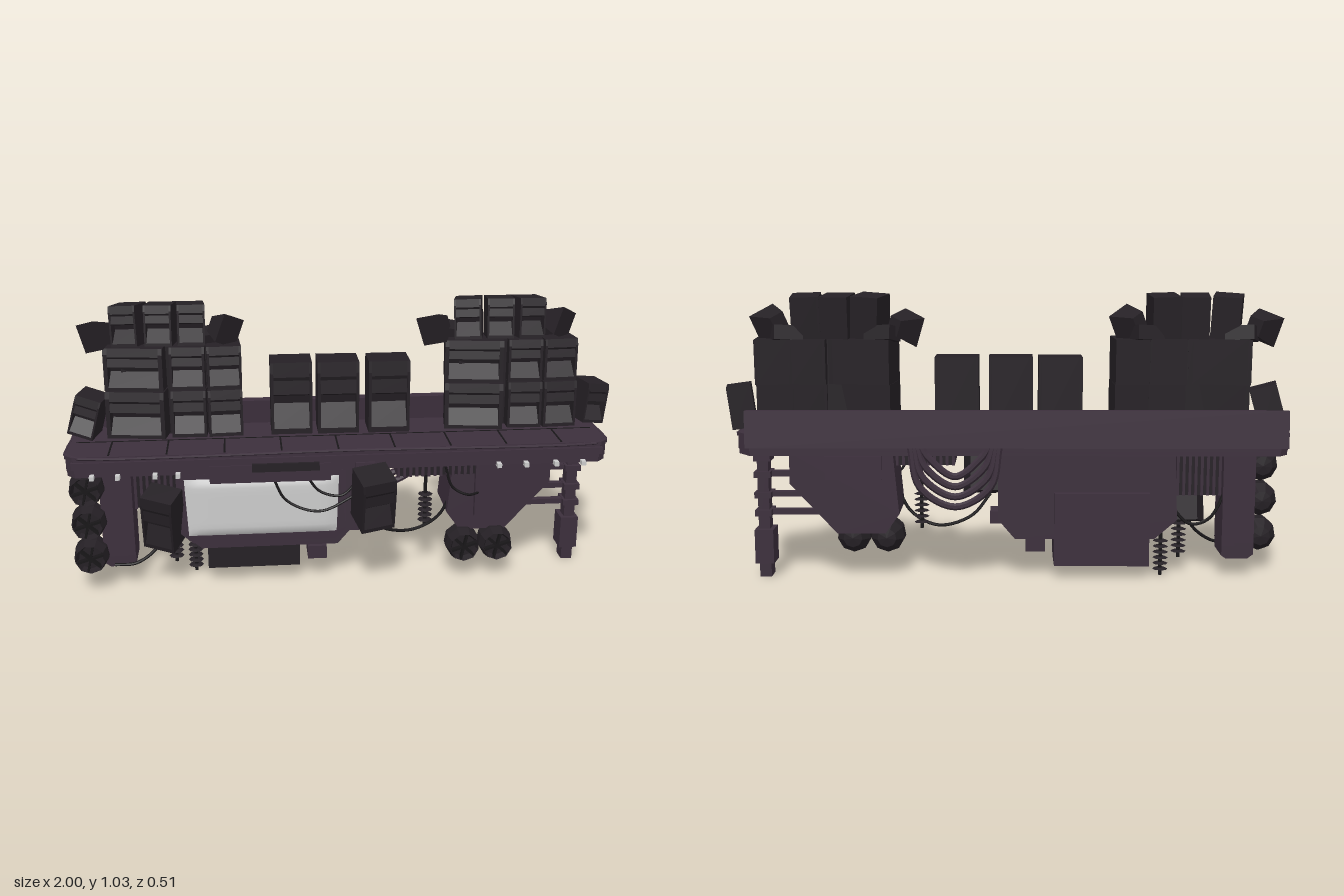
import * as THREE from 'three';

const mat = (color, extra = {}) => new THREE.MeshStandardMaterial({ color, flatShading: true, ...extra });

export function createModel() {
  const root = new THREE.Group();
  root.name = 'hangingStage';
  const purple = mat(0x3c2f3c), dark = mat(0x252025), black = mat(0x181618), grey = mat(0xcccccc);

  const add = (name, geo, m, x = 0, y = 0, z = 0, rx = 0, ry = 0, rz = 0, parent = root) => {
    const mesh = new THREE.Mesh(geo, m);
    mesh.name = name;
    mesh.position.set(x, y, z);
    mesh.rotation.set(rx, ry, rz);
    parent.add(mesh);
    return mesh;
  };
  // Box given by its limits
  const block = (name, m, x0, x1, y0, y1, z0, z1) =>
    add(name, new THREE.BoxGeometry(x1 - x0, y1 - y0, z1 - z0), m, (x0 + x1) / 2, (y0 + y1) / 2, (z0 + z1) / 2);
  const poly = (pts) => new THREE.Shape(pts.map(([a, b]) => new THREE.Vector2(a, b)));
  const extrude = (pts, depth) => new THREE.ExtrudeGeometry(poly(pts), { depth, bevelEnabled: false });
  // Front outline extruded from z0 to z1
  const prism = (name, m, pts, z0, z1) => add(name, extrude(pts, z1 - z0), m, 0, 0, z0);
  const cable = (name, pts, r, m = black) => add(name, new THREE.TubeGeometry(
    new THREE.CatmullRomCurve3(pts.map((p) => new THREE.Vector3(...p))), 28, r, 7), m);

  // Platform: plan outline with clipped corners, stacked in layers
  const layer = (name, y0, y1, inset) => {
    const l = -0.995 + inset, r = 0.955 - inset, f = 0.115 - inset, b = -0.19 + inset, c = 0.03;
    const pts = [[l, -f + c], [l + c, -f], [r - c, -f], [r, -f + c], [r, -b - 0.06], [r - 0.05, -b], [l + c, -b], [l, -b - c]];
    const geo = extrude(pts, y1 - y0);
    geo.rotateX(-Math.PI / 2);
    add(name, geo, purple, 0, y0);
  };
  layer('platformUnderside', 0.462, 0.485, 0.006);
  layer('platformBody', 0.48, 0.527, 0.004);
  layer('platformRim', 0.527, 0.54, 0);
  block('longSeam', black, -0.97, 0.93, 0.538, 0.5415, -0.048, -0.043);
  for (let i = 0; i < 9; i++) {
    const x = -0.84 + i * 0.2025;
    block('deckSeam', black, x - 0.003, x + 0.003, 0.538, 0.5415, -0.045, 0.105);
  }
  cable('edgeRail', [[-0.99, 0.537, -0.1], [-0.992, 0.537, 0.085], [-0.965, 0.537, 0.114], [0, 0.537, 0.114],
    [0.925, 0.537, 0.114], [0.952, 0.537, 0.085], [0.952, 0.537, -0.1]], 0.005, purple);
  block('frontTrim', purple, -0.97, 0.93, 0.495, 0.52, 0.1, 0.12);
  add('backBoard', new THREE.BoxGeometry(1.87, 0.13, 0.035), purple, -0.035, 0.565, -0.235, 0.06);
  block('backBoardMount', purple, -0.9, 0.85, 0.505, 0.54, -0.225, -0.18);
  for (const x of [-0.9, -0.81, -0.68, -0.6, 0.55, 0.65, 0.76, 0.86])
    block('rimLamp', grey, x - 0.008, x + 0.008, 0.458, 0.474, 0.095, 0.135);

  // Speaker cabinet: slotted horn body between two side panels
  const side = (pts, w, name, x, parent) => {
    const geo = extrude(pts, w);
    geo.translate(0, 0, -w / 2);
    geo.rotateY(-Math.PI / 2);
    add(name, geo, dark, x, 0, 0, 0, 0, 0, parent);
  };
  const cabinet = (name, w, h, d, x, y, z, rx = 0, ry = 0, rz = 0) => {
    const g = new THREE.Group();
    g.name = name;
    const f = d / 2, b = -d / 2, q = h / 2, t = w * 0.07;
    side([[b, -q], [f, -q], [f, -q * 0.85], [f - d * 0.3, -q * 0.2], [f - d * 0.25, q * 0.02],
      [f, q * 0.12], [f * 0.92, q * 0.5], [f, q * 0.6], [f * 0.92, q], [b, q]], w - 2 * t, 'hornBody', 0, g);
    for (const s of [-1, 1])
      side([[b, -q], [f, -q], [f, q * 0.7], [f * 0.92, q], [b, q]], t, 'sidePanel', s * (w - t) / 2, g);
    g.position.set(x, y, z);
    g.rotation.set(rx, ry, rz);
    root.add(g);
  };
  // Two fanned speaker stacks with small tweeters on top
  for (const dx of [0, 1.238]) {
    [[-0.742, -0.15, 0.214], [-0.558, -0.04, 0.126], [-0.432, 0.06, 0.124]].forEach(([x, ry, w]) => {
      cabinet('lowerSpeaker', w, 0.172, 0.148, x + dx, 0.632, -0.124, -0.03, ry);
      cabinet('upperSpeaker', w, 0.155, 0.15, x + dx, 0.797, -0.146, -0.03, ry);
    });
    block('stackCore', dark, -0.8 + dx, -0.38 + dx, 0.54, 0.87, -0.19, -0.12);
    [[-0.765, -0.25, 0.04], [-0.652, -0.1, 0], [-0.545, 0.08, -0.02]].forEach(([x, ry, rz]) =>
      cabinet('topSpeaker', 0.098, 0.145, 0.13, x + dx, 0.95, -0.145, -0.1, ry, rz));
    for (const [x, y, rz, ry] of [[-0.878, 0.912, 0.4, -0.75], [-0.432, 0.925, -0.5, 0.75]]) {
      const geo = new THREE.CylinderGeometry(0.075, 0.04, 0.08, 4);
      geo.rotateY(Math.PI / 4);
      geo.rotateX(Math.PI / 2);
      add('hornTweeter', geo, dark, x + dx, y, -0.16, 0.15, ry, rz);
    }
    for (const [x, ry] of [[-0.81, -0.4], [-0.48, 0.4]])
      add('tweeterArm', new THREE.BoxGeometry(0.1, 0.05, 0.08), dark, x + dx, 0.89, -0.185, 0.2, ry, 0);
  }
  cabinet('leaningSpeaker', 0.095, 0.15, 0.12, -0.925, 0.63, -0.11, 0, -0.2, -0.28);
  cabinet('leaningSpeaker', 0.085, 0.15, 0.12, 0.937, 0.632, -0.11, 0, 0.2, -0.12);
  [[-0.187, -0.14], [-0.015, -0.135], [0.172, -0.13]].forEach(([x, z]) =>
    cabinet('middleSpeaker', 0.152, 0.27, 0.13, x, 0.675, z));

  // Screen housing and its back box
  prism('screenHousing', purple, [[-0.6, 0.47], [0.03, 0.47], [0.03, 0.22], [-0.03, 0.15], [-0.53, 0.15], [-0.61, 0.22]], -0.13, 0.055);
  block('backBox', purple, -0.51, -0.17, 0.075, 0.32, -0.15, 0.03);
  block('backBoxBase', purple, -0.51, -0.17, 0.055, 0.08, -0.15, 0.012);
  block('frontGrille', dark, -0.51, -0.17, 0.062, 0.145, 0.02, 0.04);
  block('smallBox', purple, -0.14, -0.07, 0.085, 0.135, -0.06, 0.04);
  block('smallBoxHanger', purple, -0.13, -0.08, 0.13, 0.16, -0.05, 0);
  block('cornerBlock', purple, 0, 0.06, 0.19, 0.235, -0.06, 0.03);
  // Slightly bulging screen in a raised frame
  const frame = poly([[-0.61, 0.445], [0, 0.445], [0, 0.22], [-0.04, 0.175], [-0.56, 0.175], [-0.61, 0.22]]);
  frame.holes.push(new THREE.Path([[-0.585, 0.425], [-0.575, 0.205], [-0.035, 0.205], [-0.025, 0.425]].map((p) => new THREE.Vector2(...p))));
  add('screenFrame', new THREE.ExtrudeGeometry(frame, { depth: 0.015, bevelEnabled: false }), purple, 0, 0, 0.05);
  const glass = new THREE.PlaneGeometry(0.565, 0.23, 20, 12);
  const gp = glass.attributes.position;
  for (let i = 0; i < gp.count; i++) {
    const u = gp.getX(i) / 0.2825, v = gp.getY(i) / 0.115;
    gp.setZ(i, 0.018 * (1 - u ** 10) * (1 - v ** 10));
  }
  glass.computeVertexNormals();
  add('screen', glass, new THREE.MeshStandardMaterial({ color: 0xcccccc }), -0.305, 0.315, 0.06);
  block('screenHood', purple, -0.49, -0.06, 0.43, 0.495, 0.03, 0.125);
  block('hoodPanel', dark, -0.34, -0.1, 0.47, 0.5, 0.1, 0.13);

  // Front monitors leaning forward, turned towards the audience
  cabinet('frontMonitor', 0.125, 0.21, 0.12, 0.09, 0.37, 0.16, 0.3, 0.25, 0);
  block('monitorBracket', purple, 0.03, 0.1, 0.42, 0.49, 0.02, 0.12);
  cabinet('frontMonitor', 0.12, 0.225, 0.1, -0.665, 0.285, 0.075, 0.3, -0.4, 0);

  // Left column and slatted vents
  block('leftColumn', purple, -0.89, -0.775, 0.12, 0.47, -0.115, 0.03);
  prism('leftColumnFoot', purple, [[-0.89, 0.13], [-0.775, 0.13], [-0.775, 0.085], [-0.79, 0.075], [-0.87, 0.075], [-0.89, 0.09]], -0.115, 0.02);
  const vent = (x0, x1, y0, y1, z0, z1) => {
    block('ventBody', dark, x0, x1, y0, y1, z0, z1);
    const n = Math.round((x1 - x0) / 0.022);
    for (let i = 0; i <= n; i++) {
      const x = x0 + (x1 - x0) * i / n;
      block('ventSlat', purple, x - 0.005, x + 0.005, y0, y1, z0 - 0.01, z1 + 0.012);
    }
  };
  vent(-0.76, -0.61, 0.31, 0.47, -0.12, 0.03);
  vent(0.19, 0.48, 0.415, 0.5, -0.1, 0.07);

  // Right-hand machinery body
  prism('rightBody', purple, [[0.4, 0.47], [0.765, 0.47], [0.765, 0.36], [0.6, 0.18], [0.43, 0.18], [0.38, 0.25]], -0.17, 0.035);
  prism('rightBodyFace', purple, [[0.48, 0.45], [0.74, 0.45], [0.74, 0.37], [0.59, 0.2], [0.5, 0.2], [0.48, 0.24]], 0.03, 0.058);
  block('rightBodyBackPanel', purple, 0.44, 0.64, 0.375, 0.46, -0.18, -0.16);

  // Short faceted drum lamps with spoked faces
  for (const [x, y] of [[-0.932, 0.4], [-0.932, 0.27], [-0.932, 0.138], [0.44, 0.13], [0.565, 0.13]]) {
    const g = new THREE.Group();
    g.name = 'drumLamp';
    g.position.set(x, y, 0);
    root.add(g);
    const profile = [[0, -0.045], [0.035, -0.04], [0.062, 0], [0.064, 0.05], [0.054, 0.095], [0.044, 0.07], [0, 0.07]];
    const geo = new THREE.LatheGeometry(profile.map((p) => new THREE.Vector2(...p)), 9);
    add('lampDrum', geo, dark, 0, 0, 0, Math.PI / 2, 0, 0, g);
    for (let i = 0; i < 3; i++)
      add('lampSpoke', new THREE.BoxGeometry(0.098, 0.008, 0.02), black, 0, 0, 0.082, 0, 0, i * Math.PI / 3 + 0.3, g);
  }

  // Right leg with collars, foot and rungs
  block('rightLeg', purple, 0.855, 0.895, 0.15, 0.47, -0.1, -0.05);
  block('legBox', purple, 0.84, 0.907, 0.055, 0.18, -0.12, -0.035);
  block('legFoot', purple, 0.853, 0.895, 0.003, 0.06, -0.105, -0.045);
  for (const y of [0.24, 0.305, 0.38, 0.44]) block('legCollar', purple, 0.845, 0.905, y - 0.011, y + 0.011, -0.113, -0.037);
  for (const [y, x] of [[0.24, 0.64], [0.305, 0.7], [0.38, 0.75]]) block('legRung', purple, x, 0.86, y - 0.01, y + 0.01, -0.085, -0.06);

  // Insulator rods
  for (const [x, y0, y1, z] of [[-0.63, 0.06, 0.2, -0.04], [-0.56, 0.003, 0.17, -0.075], [0.31, 0.17, 0.42, -0.04]]) {
    add('insulatorRod', new THREE.CylinderGeometry(0.007, 0.007, y1 - y0, 6), black, x, (y0 + y1) / 2, z);
    for (let i = 0; i < 6; i++) add('insulatorDisc', new THREE.CylinderGeometry(0.016, 0.028, 0.005, 8), dark, x, y0 + 0.025 + i * 0.021, z);
  }

  // Heavy cable loops behind the platform
  for (let i = 0; i < 4; i++) {
    const w = 0.155 - i * 0.012, low = 0.285 + i * 0.036, c = 0.18;
    cable('heavyCable', [[c - w, 0.5, -0.2], [c - w * 0.8, low + 0.07, -0.2], [c, low, -0.202],
      [c + w * 0.8, low + 0.07, -0.2], [c + w, 0.5, -0.2]], 0.013, purple);
  }
  // Thin hanging cables
  cable('thinCable', [[-0.27, 0.45, 0.1], [-0.22, 0.35, 0.105], [-0.1, 0.305, 0.11], [0.04, 0.36, 0.09]], 0.005);
  cable('thinCable', [[-0.15, 0.45, 0.1], [-0.1, 0.38, 0.1], [-0.02, 0.36, 0.1], [0.04, 0.41, 0.09]], 0.005);
  cable('thinCable', [[0.06, 0.28, 0.05], [0.13, 0.2, 0.03], [0.25, 0.17, 0], [0.35, 0.22, 0], [0.41, 0.33, 0]], 0.006);
  cable('thinCable', [[0.36, 0.46, 0.08], [0.39, 0.37, 0.08], [0.45, 0.335, 0.075], [0.5, 0.335, 0.05]], 0.005);
  cable('thinCable', [[-0.85, 0.095, 0.05], [-0.77, 0.1, 0.05], [-0.69, 0.16, 0.04], [-0.65, 0.27, 0.03]], 0.006);
  cable('thinCable', [[-0.8, 0.35, -0.09], [-0.73, 0.22, -0.1], [-0.66, 0.2, -0.1], [-0.58, 0.28, -0.1]], 0.006);
  return root;
}
